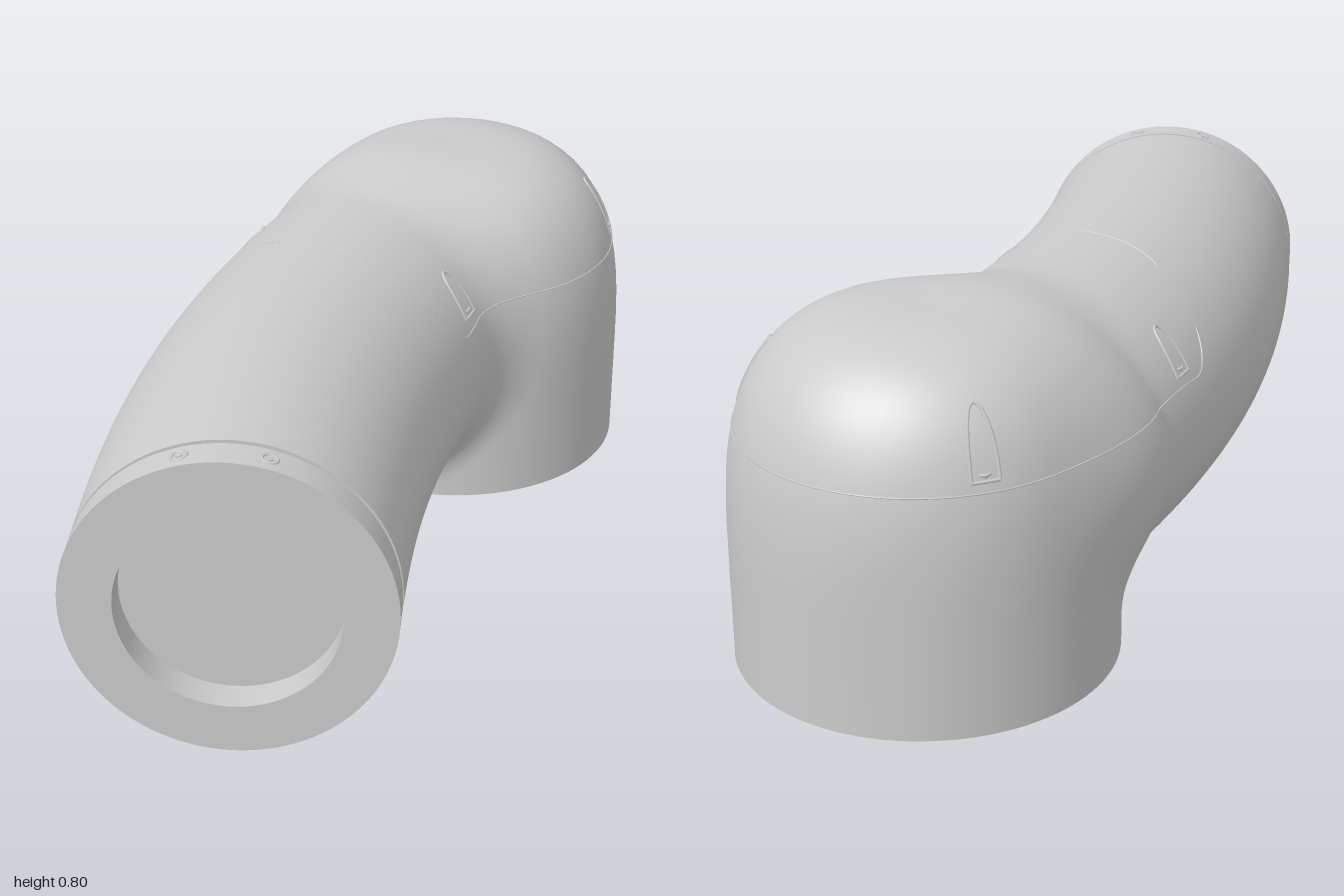
import * as THREE from 'three';

const V = (x, y, z) => new THREE.Vector3(x, y, z);
const DOME = { x: 0.153, z: -0.57, r: 0.43 };
const AXIS_Y = 0.408;
const TURN = 0.305; // how far the arm has swung sideways where it meets the elbow

const spineX = z => -0.235 + 0.127 * Math.pow(Math.max(0, 0.9 - z), 2.3);
const spineSlope = z => 0.292 * Math.pow(Math.max(0, 0.9 - z), 1.3);

// Smooth blend of the domed upright barrel and the curved arm (negative inside)
function field(p) {
  const radial = Math.hypot(p.x - DOME.x, p.z - DOME.z) / DOME.r;
  const rise = Math.max(0, p.y - 0.25) / 0.55;
  const dome = DOME.r * (Math.cbrt(radial ** 3 + rise ** 3) - 1);
  const z = Math.max(p.z, -0.45);
  const radius = 0.357 - 0.012 * (Math.max(0, z - 0.1) / 0.8) ** 2;
  const across = (p.x - spineX(z)) / Math.hypot(1, spineSlope(z));
  const arm = Math.hypot(across, p.y - AXIS_Y, p.z - z) - radius;
  const k = 0.08, h = Math.max(0, k - Math.abs(dome - arm)) / k;
  return Math.min(dome, arm) - h * h * k / 4;
}

// Point where a ray from inside leaves the surface
function cast(origin, dir) {
  let a = 0, b = 0.02;
  const at = t => origin.clone().addScaledVector(dir, t);
  while (field(at(b)) < 0 && b < 1.5) { a = b; b += 0.02; }
  for (let i = 0; i < 14; i++) {
    const m = (a + b) / 2;
    if (field(at(m)) < 0) a = m; else b = m;
  }
  return at(a);
}

// One skin: cross-sections run along the arm, then fan round the elbow to the base
function bodyGeometry() {
  const around = 96, straight = 40, fan = 64;
  const up = V(0, 1, 0);
  const u = V(-Math.sin(TURN), 0, Math.cos(TURN)), h = V(Math.cos(TURN), 0, Math.sin(TURN));
  const hinge = V(DOME.x, 0, DOME.z).addScaledVector(u, 0.47);
  // where the spine crosses the first fan plane
  let zEnd = hinge.z;
  for (let i = 0; i < 12; i++) zEnd = hinge.z + (spineX(zEnd) - hinge.x) * Math.tan(TURN);
  const start = V(spineX(zEnd), AXIS_Y, zEnd);
  const shift = start.clone().sub(hinge).dot(h);

  const sections = [];
  for (let i = 0; i < straight; i++) {
    const t = i / straight, z = THREE.MathUtils.lerp(0.915, zEnd, t), a = TURN * t * t;
    sections.push({ c: V(spineX(z), AXIS_Y, z), h: V(Math.cos(a), 0, Math.sin(a)), e: up });
  }
  for (let i = 0; i <= fan; i++) {
    const t = i / fan, a = t * Math.PI / 2;
    const e = up.clone().multiplyScalar(Math.cos(a)).addScaledVector(u, -Math.sin(a));
    const c = hinge.clone().addScaledVector(e, THREE.MathUtils.lerp(AXIS_Y, 0.47, t))
      .addScaledVector(h, shift * (1 - t));
    sections.push({ c, h, e });
  }
  const pos = [], index = [];
  sections.forEach((s, i) => {
    for (let j = 0; j < around; j++) {
      const a = j / around * Math.PI * 2;
      const d = s.h.clone().multiplyScalar(Math.cos(a)).addScaledVector(s.e, Math.sin(a));
      pos.push(...cast(s.c, d).toArray());
      if (i === 0) continue;
      const k = (j + 1) % around, p = (i - 1) * around, q = i * around;
      index.push(p + j, p + k, q + j, p + k, q + k, q + j);
    }
  });
  // make sure the faces look outward
  const geo = new THREE.BufferGeometry();
  geo.setAttribute('position', new THREE.Float32BufferAttribute(pos, 3));
  const [A, B, C] = index.slice(0, 3).map(n => V(...pos.slice(n * 3, n * 3 + 3)));
  if (B.sub(A).cross(C.sub(A)).dot(A.clone().sub(sections[0].c)) < 0) index.reverse();
  geo.setIndex(index);
  geo.computeVertexNormals();
  return geo;
}

// Hard-edged turned part: every profile segment is its own band
function turned(name, profile, material) {
  const group = new THREE.Group();
  group.name = name;
  for (let i = 1; i < profile.length; i++) {
    const pts = [profile[i - 1], profile[i]].map(([r, y]) => new THREE.Vector2(r, y));
    const band = new THREE.Mesh(new THREE.LatheGeometry(pts, 96), material);
    band.name = name + 'Face';
    group.add(band);
  }
  return group;
}

export function createModel() {
  const model = new THREE.Group();
  model.name = 'elbowLink';
  const grey = new THREE.MeshStandardMaterial({ color: 0xcccccc });
  const both = new THREE.MeshStandardMaterial({ color: 0xcccccc, side: THREE.DoubleSide });
  const add = (name, geo, parent = model) => {
    const mesh = new THREE.Mesh(geo, grey);
    mesh.name = name;
    parent.add(mesh);
    return mesh;
  };
  const line = (name, pts, r, closed) =>
    add(name, new THREE.TubeGeometry(new THREE.CatmullRomCurve3(pts, closed), pts.length * 4, r, 6, closed));

  // Small socket-head screw, axis along +y
  const screw = (name, r) => {
    const g = new THREE.Group();
    g.name = name;
    const rim = add('screwRim', new THREE.TorusGeometry(r * 0.8, r * 0.2, 6, 20), g);
    rim.rotation.x = Math.PI / 2;
    add('screwHead', new THREE.CylinderGeometry(r * 0.8, r * 0.8, 0.012, 20), g).position.y = -0.006;
    add('screwSocket', new THREE.CylinderGeometry(r * 0.4, r * 0.4, 0.003, 6), g).position.y = 0.0015;
    model.add(g);
    return g;
  };

  const body = add('body', bodyGeometry());
  body.material = both;

  // Front collar with a groove behind it and a round recess in its face
  const collar = turned('frontCollar', [[0.345, 0.915], [0.334, 0.915], [0.334, 0.926], [0.344, 0.926],
    [0.344, 1], [0.2325, 1], [0.2325, 0.93], [0, 0.93]], both);
  collar.rotation.x = Math.PI / 2;
  collar.position.set(-0.235, AXIS_Y, 0);
  model.add(collar);

  // Base flange with a round recess
  const base = turned('baseFlange', [[0.431, 0], [0.305, 0], [0.305, 0.09], [0, 0.09]], both);
  base.position.set(DOME.x, 0, DOME.z);
  model.add(base);

  // Collar screws, a pair above and a pair below
  for (const side of [0, Math.PI]) {
    for (const tilt of [-0.26, 0.26]) {
      const a = side + tilt, s = screw('collarScrew', 0.02);
      s.position.set(-0.235 + Math.sin(a) * 0.343, AXIS_Y + Math.cos(a) * 0.343, 0.96);
      s.rotation.z = -a;
    }
  }

  // Arched screw pockets round the lid: plan position, outward direction, height
  const pockets = [[-0.03, -0.9, -0.49, -0.87, 0.14], [0.54, -0.57, 1, 0, 0.14],
    [-0.39, -0.32, -0.94, -0.34, 0.1], [0.22, -0.04, 0.95, 0.3, 0.1]];
  for (const [x, z, nx, nz, height] of pockets) {
    const n = V(nx, 0, nz).normalize();
    const hit = (s, y) => cast(V(x - nz * s, y, z + nx * s).addScaledVector(n, -0.3), n);
    const arch = [];
    for (let i = 0; i <= 16; i++) {
      const a = i / 16 * Math.PI;
      arch.push(hit(0.03 * Math.cos(a), 0.562 + height * Math.pow(Math.sin(a), 0.8)));
    }
    line('pocketRim', arch, 0.004, false);
    line('pocketSill', [-0.03, 0, 0.03].map(s => hit(s, 0.562)), 0.004, false);
    screw('lidScrew', 0.018).position.copy(hit(0, 0.575).addScaledVector(n, -0.012));
  }

  // Fine seam of the lid: level round the dome, then arching over the arm
  const seam = [];
  for (let i = 0; i <= 48; i++) {
    const a = THREE.MathUtils.lerp(1.498, -3.67, i / 48);
    seam.push(cast(V(DOME.x, 0.54, DOME.z), V(Math.cos(a), 0, Math.sin(a))));
  }
  for (const [x, z] of [[-0.4, -0.17], [-0.27, -0.04], [-0.1, 0.04], [0.05, 0.085], [0.13, 0.09]]) {
    seam.push(cast(V(x, 0.45, z), V(0, 1, 0)));
  }
  line('lidSeam', seam, 0.002, true);
  return model;
}
